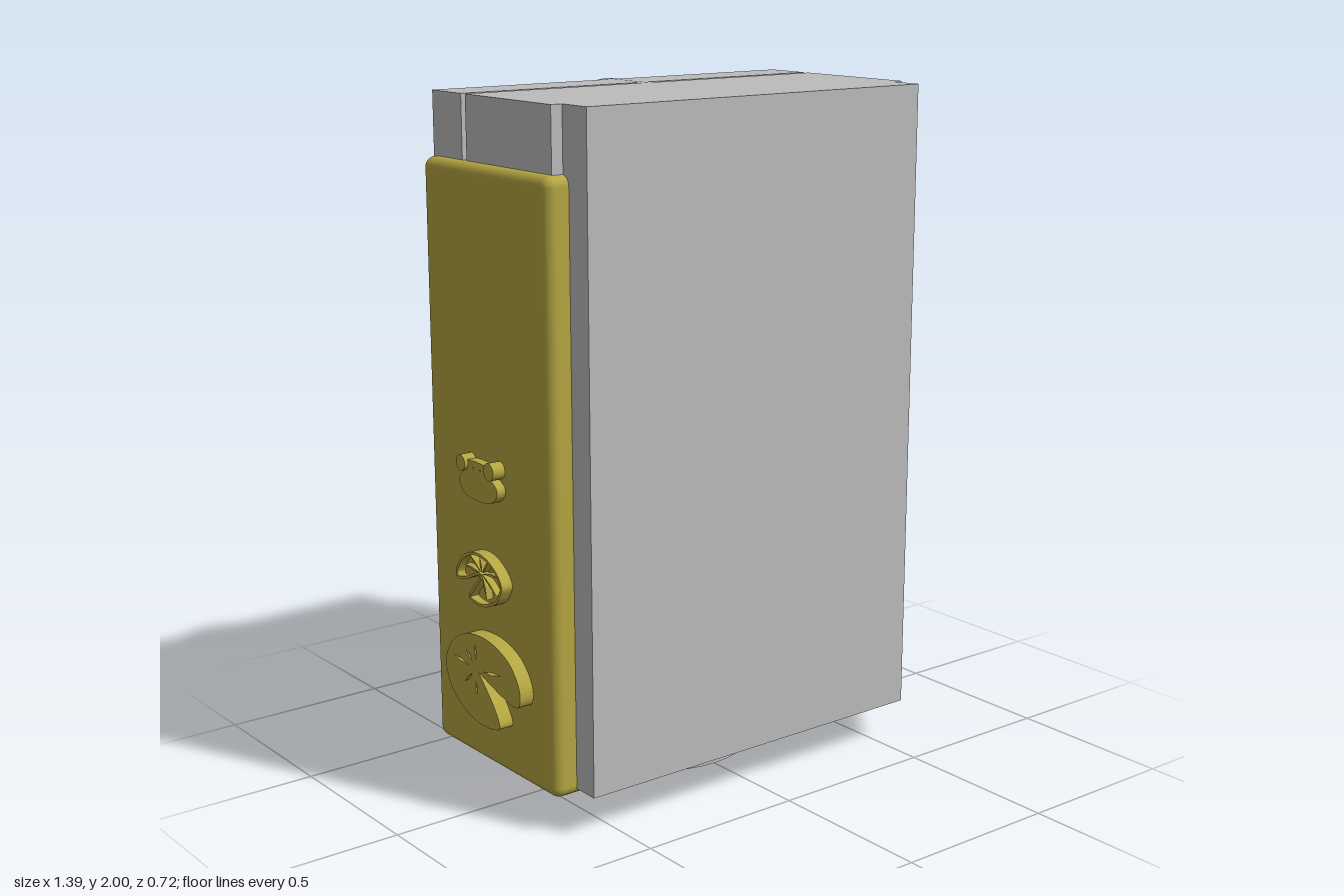
import * as THREE from 'three';
import { RoundedBoxGeometry } from 'three/addons/geometries/RoundedBoxGeometry.js';

const brass = new THREE.MeshStandardMaterial({ color: 0xb5a642 });
brass.name = 'brass';
const silver = new THREE.MeshStandardMaterial({ color: 0xbcbcbc });
silver.name = 'silver';

function add(parent, name, geometry, material, x = 0, y = 0, z = 0) {
  const mesh = new THREE.Mesh(geometry, material);
  mesh.name = name;
  mesh.position.set(x, y, z);
  parent.add(mesh);
  return mesh;
}

// Box given by its limits on each axis
function block(parent, name, [x0, x1], [y0, y1], [z0, z1]) {
  return add(parent, name, new THREE.BoxGeometry(x1 - x0, y1 - y0, z1 - z0), silver,
    (x0 + x1) / 2, (y0 + y1) / 2, (z0 + z1) / 2);
}

const vec = (pts) => pts.map(([u, v]) => new THREE.Vector2(u / 100, v / 100));

// Smooth outline that keeps its first point sharp (the notch of a leaf)
function outline(pts) {
  const p = vec(pts);
  return new THREE.SplineCurve([...p, p[0].clone()]).getPoints(90).slice(0, -1);
}

// Outline moved inwards by d (points run counter-clockwise)
function inset(pts, d) {
  const n = pts.length;
  return pts.map((p, i) => {
    const t = pts[(i + 1) % n].clone().sub(pts[(i + n - 1) % n]).normalize();
    return new THREE.Vector2(p.x - t.y * d, p.y + t.x * d);
  });
}

// Slim leaf-vein shape running out from a centre
function vein([cu, cv], [deg, r0, r1], width) {
  const a = THREE.MathUtils.degToRad(deg);
  const at = (r, s) => [cu + r * Math.cos(a) - s * Math.sin(a), cv + r * Math.sin(a) + s * Math.cos(a)];
  const m = (r0 + r1) / 2;
  return vec([at(r0, 0), at(m, -width * 0.3), at(r1, 0.4), at(m, width * 0.7)]);
}

function extrude(points, holes, depth) {
  const shape = new THREE.Shape(points);
  shape.holes = holes.map((h) => new THREE.Path(h));
  return new THREE.ExtrudeGeometry(shape, { depth, bevelEnabled: false, curveSegments: 16 });
}

// Lily pad with engraved veins
function lilyPad(depth) {
  const group = new THREE.Group();
  const edge = outline([[-3, -2.4], [0, 6], [3, 18.3], [0.8, 22], [-5, 21.3], [-11.4, 15.6], [-15, 5.5],
    [-15, -5], [-12.4, -13], [-7.7, -18.8], [-0.8, -22], [6.6, -19.3], [12, -13], [14.6, -5],
    [15.1, 1.9], [14, 8.7], [11.4, 9.8], [5.6, 6]]);
  const veins = [[97, 4, 15], [180, 3, 9], [222, 3, 8], [262, 4, 14], [308, 3, 9], [358, 4, 9]];
  add(group, 'leaf', extrude(edge, veins.map((v) => vein([-3, -3.4], v, 1)), depth), brass);
  return group;
}

// Lily pad made of a raised rim, a recessed floor and raised veins
function rimmedPad(depth) {
  const group = new THREE.Group();
  const edge = outline([[-3.2, 1.6], [2.6, -12], [4.6, -21], [1.6, -23.7], [-3.2, -22], [-9, -17.5],
    [-13.8, -9.5], [-15.4, 1], [-13.2, 10.6], [-8, 19], [-1.6, 23.5], [4.2, 21.7], [10, 17],
    [14.3, 7.4], [15.4, -1.6], [12.7, -10.6], [5, -5]].reverse());
  // the notch point ends up last after reversing, so the outline starts beside it
  const ccw = THREE.ShapeUtils.isClockWise(edge) ? edge.reverse() : edge;
  const inner = inset(ccw, 0.017);
  add(group, 'rim', extrude(ccw, [inner], depth), brass);
  add(group, 'leafFloor', extrude(inner, [], depth * 0.35), brass);
  for (const v of [[15, 1, 15], [55, 1, 17], [95, 1, 18], [140, 1, 12], [190, 1, 10], [235, 1, 15], [265, 2, 18]]) {
    add(group, 'vein', extrude(vein([-4, 2.5], v, 1.6), [], depth * 0.9), brass);
  }
  return group;
}

// Small frog with two round eyes
function frog(depth) {
  const group = new THREE.Group();
  const body = new THREE.SplineCurve(vec([[-4.6, 4.5], [-1.5, 6], [1, 9.2], [4, 8.5], [6.1, 4], [6.1, -5],
    [4, -9], [1, -9.6], [-1.5, -7], [-4.6, -5.5], [-4.6, 4.5]])).getPoints(50).slice(0, -1);
  const nostril = (u, v) => vec([[u - 0.4, v], [u, v - 0.4], [u + 0.4, v], [u, v + 0.4]]);
  add(group, 'frogBody', extrude(body, [nostril(-2.6, 1), nostril(-2.6, -2.5)], depth * 0.75), brass);
  for (const [u, v, r] of [[-3.7, 6.8, 2.5], [-3.5, -7.4, 2.3]]) {
    const eye = new THREE.CylinderGeometry(r / 100, r / 100, depth, 20).rotateX(Math.PI / 2);
    add(group, 'frogEye', eye, brass, u / 100, v / 100, depth / 2);
  }
  return group;
}

// Fixes an ornament on a side wall; spin turns it within the wall
function mount(parent, name, ornament, side, y, z, spin = 0, scale = 1) {
  ornament.rotation.z = spin;
  ornament.scale.set(scale, scale, 1);
  const holder = new THREE.Group();
  holder.name = name;
  holder.add(ornament);
  holder.rotation.y = side * Math.PI / 2;
  holder.position.set(side > 0 ? 0.645 : -0.65, y, z);
  parent.add(holder);
}

export function createModel() {
  const model = new THREE.Group();
  model.name = 'case';

  // Outer sleeve with softened edges
  add(model, 'sleeve', new RoundedBoxGeometry(1.305, 1.72, 0.613, 4, 0.03), brass, -0.002, 0.96, -0.031);

  // Silver core: front plate, main block and rear slab with a slot between
  block(model, 'frontPlate', [-0.585, 0.58], [0.12, 2], [0.24, 0.357]);
  block(model, 'coreBlock', [-0.62, 0.617], [1.7, 2], [-0.157, 0.25]);
  block(model, 'rearSlab', [-0.62, 0.617], [1.7, 2], [-0.325, -0.178]);

  // Round pin through the rear slab, showing as a disc at the back
  const pin = new THREE.CylinderGeometry(0.184, 0.184, 0.207, 64).rotateX(Math.PI / 2);
  add(model, 'rearPin', pin, silver, 0, 1.8165, -0.2545);

  // Oval foot
  const foot = new THREE.CylinderGeometry(0.184, 0.184, 0.14, 64).scale(1, 1, 0.62);
  add(model, 'foot', foot, silver, 0, 0.07, 0.045);

  // Ornaments on the left wall
  mount(model, 'upperLilyPad', lilyPad(0.047), 1, 1.457, -0.095);
  mount(model, 'leftFrog', frog(0.03), 1, 0.955, -0.028);
  mount(model, 'lowerLilyPad', rimmedPad(0.047), 1, 0.483, -0.09);

  // Smaller ornaments on the right wall, turned a quarter
  const quarter = -Math.PI / 2;
  mount(model, 'rightFrog', frog(0.043), -1, 0.957, -0.04, quarter);
  mount(model, 'smallLilyPad', rimmedPad(0.04), -1, 0.668, -0.04, quarter, 0.5);
  mount(model, 'rightLilyPad', lilyPad(0.048), -1, 0.372, -0.022, quarter, 0.87);

  return model;
}
